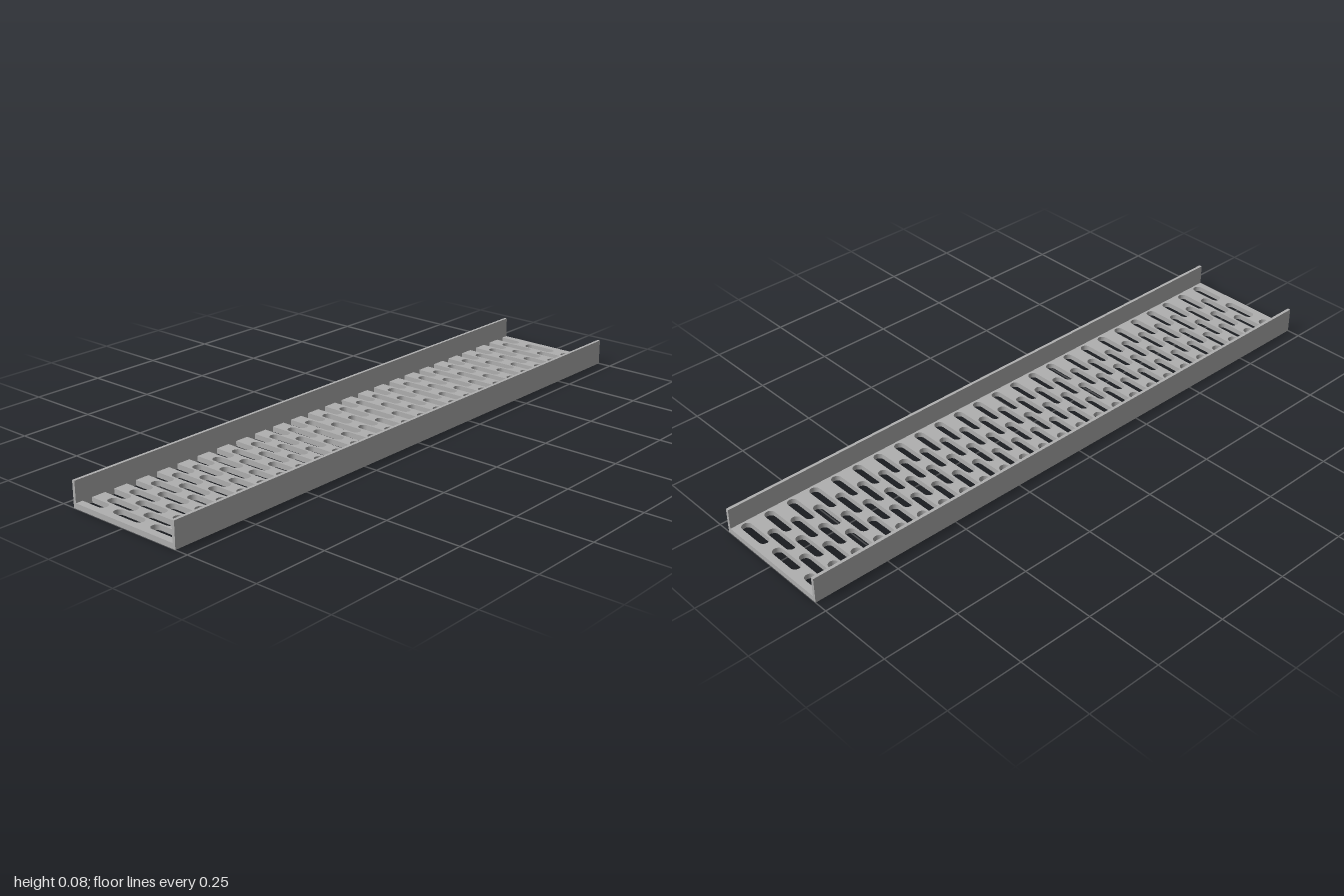
import * as THREE from 'three';

const LENGTH = 2, HALF_W = 0.205, HEIGHT = 0.084, WALL = 0.01, FLOOR = 0.017;
const SLOT_R = 0.0165, SLOT_L = 0.115;

// Rounded slot; its back end is cut square where it meets the back wall
function slot(x, z) {
  const limit = -HALF_W + WALL;
  const front = z + SLOT_L / 2 - SLOT_R, back = z - SLOT_L / 2 + SLOT_R;
  const p = new THREE.Path();
  if (back - SLOT_R < limit) {
    p.moveTo(x - SLOT_R, limit);
    p.lineTo(x + SLOT_R, limit);
  } else {
    p.absarc(x, back, SLOT_R, Math.PI, Math.PI * 2, false);
  }
  p.absarc(x, front, SLOT_R, 0, Math.PI, false);
  p.closePath();
  return p;
}

export function createModel() {
  const group = new THREE.Group();
  group.name = 'slottedTray';
  const metal = new THREE.MeshStandardMaterial({ color: 0xb0b0b0 });
  metal.name = 'greyMetal';

  // Floor plate with staggered slots
  const h = LENGTH / 2, w = HALF_W - WALL / 2;
  const plate = new THREE.Shape([
    new THREE.Vector2(-h, -w), new THREE.Vector2(h, -w),
    new THREE.Vector2(h, w), new THREE.Vector2(-h, w),
  ]);
  for (let i = 0; i < 49; i++) {
    const rows = i % 2 ? [-0.092, 0.058] : [-0.17, -0.02, 0.13];
    for (const z of rows) plate.holes.push(slot(-0.96 + i * 0.04, z));
  }
  const geometry = new THREE.ExtrudeGeometry(plate, { depth: FLOOR, bevelEnabled: false, curveSegments: 10 });
  geometry.rotateX(Math.PI / 2).translate(0, FLOOR, 0);
  const floor = new THREE.Mesh(geometry, metal);
  floor.name = 'slottedFloor';
  group.add(floor);

  // Upright side walls
  for (const side of [1, -1]) {
    const wall = new THREE.Mesh(new THREE.BoxGeometry(LENGTH, HEIGHT, WALL), metal);
    wall.name = side > 0 ? 'frontWall' : 'backWall';
    wall.position.set(0, HEIGHT / 2, side * (HALF_W - WALL / 2));
    group.add(wall);
  }
  return group;
}
